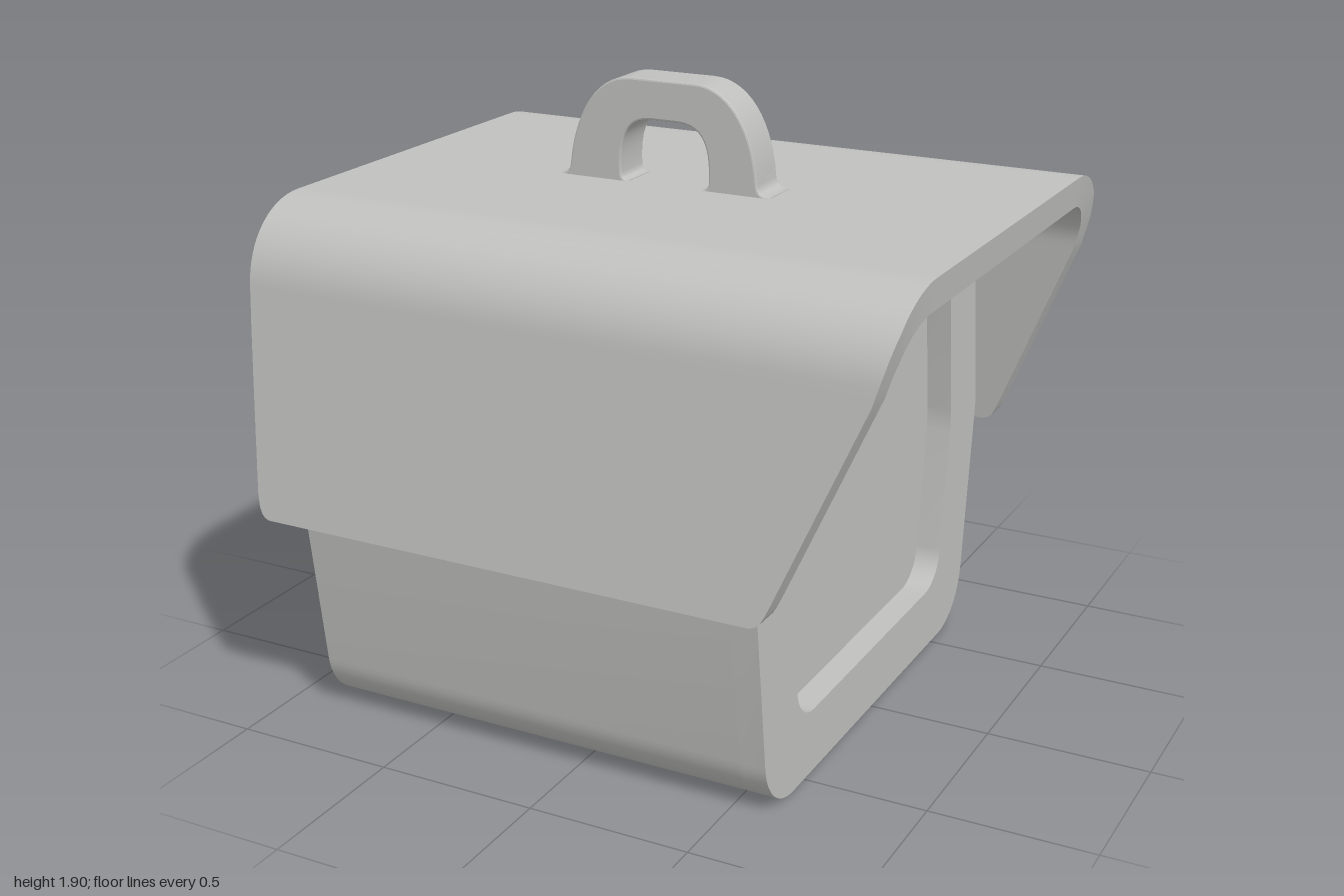
import * as THREE from 'three';
import { toCreasedNormals, mergeGeometries } from 'three/addons/utils/BufferGeometryUtils.js';

// Closed outline with rounded corners; corners are [x, y, radius]
function roundedOutline(path, corners) {
  const n = corners.length;
  corners.forEach(([x, y, r], i) => {
    const p = new THREE.Vector2(x, y);
    const toward = (q, d) => new THREE.Vector2(q[0], q[1]).sub(p).normalize().multiplyScalar(d).add(p);
    const prev = corners[(i + n - 1) % n], next = corners[(i + 1) % n];
    const a = toward(prev, r), b = toward(next, r);
    const ca = toward(prev, r * 0.42), cb = toward(next, r * 0.42);
    if (i === 0) path.moveTo(a.x, a.y); else path.lineTo(a.x, a.y);
    path.bezierCurveTo(ca.x, ca.y, cb.x, cb.y, b.x, b.y);
  });
  path.closePath();
  return path;
}

// Barrel-sided hexagon mirrored about the vertical axis
const hexagon = (bottom, mid, top, half, wide, r) => [
  [-half, bottom, r], [half, bottom, r], [wide, mid, 0.04],
  [half, top, r], [-half, top, r], [-wide, mid, 0.04],
];

// Extrude a (z, y) outline along x between two positions
function extrudeX(shape, x0, x1) {
  const geo = new THREE.ExtrudeGeometry(shape, { depth: x1 - x0, bevelEnabled: false, curveSegments: 14 });
  geo.rotateY(Math.PI / 2).translate(x0, 0, 0);
  return toCreasedNormals(geo, 0.35);
}

// Linear interpolation through [y, x] knots
function lookup(knots, y) {
  for (let i = 1; i < knots.length; i++) {
    const [y0, x0] = knots[i - 1], [y1, x1] = knots[i];
    if (y <= y1) return x0 + (x1 - x0) * Math.max(0, (y - y0) / (y1 - y0));
  }
  return knots[knots.length - 1][1];
}

// Smooth surface between two rows of points
function strip(rowA, rowB) {
  const pos = [], index = [];
  rowA.forEach((a, i) => {
    pos.push(...a, ...rowB[i]);
    if (i < rowA.length - 1) {
      const k = i * 2;
      index.push(k, k + 1, k + 2, k + 1, k + 3, k + 2);
    }
  });
  const geo = new THREE.BufferGeometry();
  geo.setAttribute('position', new THREE.Float32BufferAttribute(pos, 3));
  geo.setIndex(index);
  geo.computeVertexNormals();
  return geo;
}

// Roof cross-section: straight flap, rounded shoulder, flat top, mirrored
function roofSection(zBottom, [z1, y1], [zc, yc], [z2, y2]) {
  const half = [];
  const yBottom = 0.675;
  for (const y of [yBottom, 0.681, 0.692, 0.71, 0.75, 0.9, 1.1, 1.25, 1.31]) {
    half.push([zBottom + (z1 - zBottom) * (y - yBottom) / (y1 - yBottom), y]);
  }
  const k = 0.58;
  const curve = new THREE.CubicBezierCurve(
    new THREE.Vector2(z1, y1),
    new THREE.Vector2(z1 + (zc - z1) * k, y1 + (yc - y1) * k),
    new THREE.Vector2(z2 + (zc - z2) * k, y2 + (yc - y2) * k),
    new THREE.Vector2(z2, y2));
  curve.getPoints(16).forEach((p) => half.push([p.x, p.y]));
  half.push([z2 - 0.03, y2]);
  return [...half, ...half.map(([z, y]) => [-z, y]).reverse()];
}

function roofGeometry() {
  // Overhang limits by height: slanted, round-cornered ends
  const backEdge = [[0.675, -0.915], [0.681, -0.93], [0.692, -0.94], [0.71, -0.948], [0.75, -0.955], [1.2, -0.982], [1.585, -1]];
  const frontEdge = [[0.675, 0.645], [0.681, 0.662], [0.692, 0.675], [0.71, 0.685], [0.75, 0.703], [1.31, 0.94], [1.4, 0.966], [1.49, 0.987], [1.585, 1]];
  const place = (section, edge) => section.map(([z, y]) => [lookup(edge, y), y, z]);
  const outer = roofSection(0.932, [0.85, 1.36], [0.824, 1.587], [0.59, 1.587]);
  const inner = roofSection(0.846, [0.765, 1.335], [0.745, 1.49], [0.59, 1.49]);
  const oL = place(outer, backEdge), oR = place(outer, frontEdge);
  const iL = place(inner, backEdge), iR = place(inner, frontEdge);
  const e = oL.length - 1;
  return mergeGeometries([
    strip(oL, oR), strip(iR, iL),
    strip(oR, iR), strip(iL, oL),
    strip([oR[0], iR[0]], [oL[0], iL[0]]),
    strip([oL[e], iL[e]], [oR[e], iR[e]]),
  ]);
}

// Arched grip with slightly flared feet
function handleGeometry() {
  const s = new THREE.Shape();
  s.moveTo(-0.42, 1.575);
  s.lineTo(-0.42, 1.589);
  s.quadraticCurveTo(-0.383, 1.589, -0.379, 1.62);
  s.bezierCurveTo(-0.36, 1.79, -0.28, 1.9, -0.17, 1.9);
  s.lineTo(0.04, 1.9);
  s.bezierCurveTo(0.15, 1.9, 0.23, 1.79, 0.243, 1.62);
  s.quadraticCurveTo(0.247, 1.589, 0.285, 1.589);
  s.lineTo(0.285, 1.575);
  s.lineTo(0.06, 1.575);
  s.lineTo(0.06, 1.589);
  s.quadraticCurveTo(0.085, 1.589, 0.087, 1.61);
  s.bezierCurveTo(0.09, 1.72, 0.07, 1.78, -0.02, 1.78);
  s.lineTo(-0.1, 1.78);
  s.bezierCurveTo(-0.18, 1.78, -0.21, 1.73, -0.205, 1.61);
  s.quadraticCurveTo(-0.203, 1.589, -0.18, 1.589);
  s.lineTo(-0.18, 1.575);
  s.closePath();
  const geo = new THREE.ExtrudeGeometry(s, {
    depth: 0.128, curveSegments: 14, bevelThickness: 0.006, bevelSize: 0.006, bevelOffset: -0.006, bevelSegments: 2,
  });
  geo.translate(0, 0, -0.064);
  return toCreasedNormals(geo, 0.35);
}

export function createModel() {
  const group = new THREE.Group();
  const grey = new THREE.MeshStandardMaterial({ color: 0xc0c0be });
  grey.name = 'plainGrey';
  const add = (name, geo) => {
    const mesh = new THREE.Mesh(geo, grey);
    mesh.name = name;
    group.add(mesh);
  };

  const outline = () => roundedOutline(new THREE.Shape(), hexagon(0, 0.74, 1.488, 0.742, 0.84, 0.17));

  // Solid body, with a raised rim framing the shallow recess at the front end
  add('body', extrudeX(outline(), -0.86, 0.54));
  const rim = outline();
  rim.holes.push(roundedOutline(new THREE.Path(), hexagon(0.2, 0.74, 1.293, 0.545, 0.61, 0.11)));
  add('frontRim', extrudeX(rim, 0.54, 0.62));

  add('roof', roofGeometry());
  add('handle', handleGeometry());
  return group;
}
